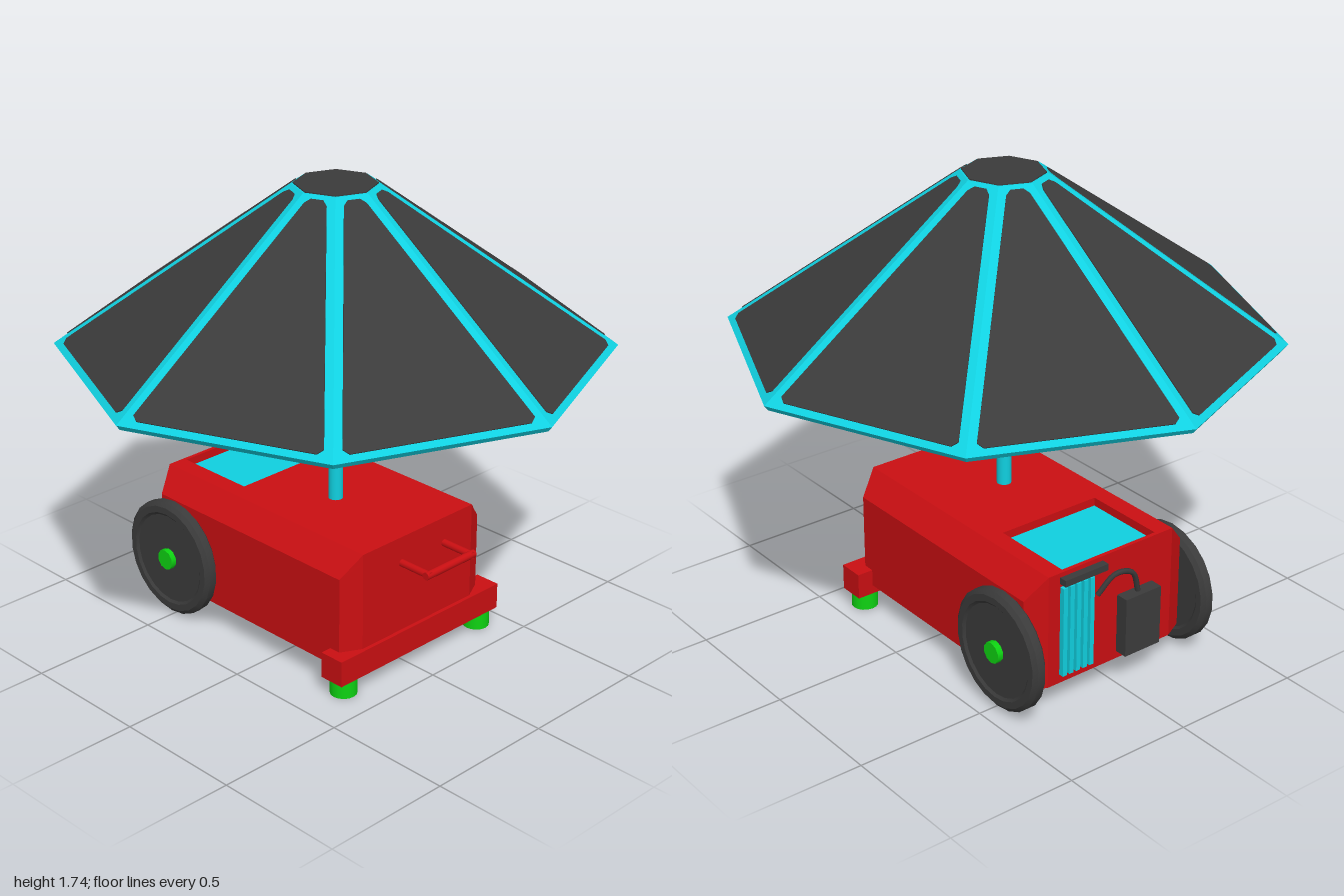
import * as THREE from 'three';
import { toCreasedNormals } from 'three/addons/utils/BufferGeometryUtils.js';
import { ConvexGeometry } from 'three/addons/geometries/ConvexGeometry.js';

const paint = (name, color) => {
  const m = new THREE.MeshStandardMaterial({ color });
  m.name = name;
  return m;
};

export function createModel() {
  const cyan = paint('cyan', 0x10d0e0);
  const red = paint('red', 0xca0f12);
  const dark = paint('charcoal', 0x3b3b3b);
  const green = paint('green', 0x0ed312);
  const model = new THREE.Group();
  model.name = 'umbrellaCart';

  const add = (name, geo, mat, x = 0, y = 0, z = 0, parent = model) => {
    const mesh = new THREE.Mesh(geo, mat);
    mesh.name = name;
    mesh.position.set(x, y, z);
    parent.add(mesh);
    return mesh;
  };
  const box = (w, h, d) => new THREE.BoxGeometry(w, h, d);
  const v2 = (pts) => pts.map(([x, y]) => new THREE.Vector2(x, y));
  const hull = (pts) => new ConvexGeometry(pts.map((p) => new THREE.Vector3(...p)));
  // Repeats points on the other side of the centre plane
  const both = (pts) => pts.flatMap(([x, y, z]) => [[x, y, z], [x, y, -z]]);

  // Canopy: eight-sided frame with a thin wall
  const R = 1, r = 0.155, rimY = 1.145, topY = 1.74;
  const canopy = new THREE.Group();
  canopy.name = 'canopy';
  model.add(canopy);
  const frame = new THREE.LatheGeometry(v2([
    [0.985, 1.125], [R, rimY], [r, topY], [0, topY], [0, topY - 0.025],
    [r, topY - 0.025], [0.97, 1.141], [0.985, 1.125],
  ]), 8);
  add('canopyFrame', toCreasedNormals(frame, 0.1), cyan, 0, 0, 0, canopy);
  add('canopyCap', new THREE.CylinderGeometry(0.148, 0.148, 0.008, 8), dark, 0, topY, 0, canopy);

  // Dark panels, one inset in each facet and seen from both sides
  const c = Math.cos(Math.PI / 8), s = Math.sin(Math.PI / 8);
  const run = (R - r) * c, rise = topY - rimY, L = Math.hypot(run, rise);
  const half = (t) => (R + (r - R) * t / L) * s - 0.031;
  const t0 = 0.026, t1 = L - 0.02;
  const right = [
    [half(t0) - 0.025, t0], [half(t0 + 0.02), t0 + 0.02],
    [half(t1 - 0.02), t1 - 0.02], [half(t1) - 0.012, t1],
  ];
  const outline = [...right, ...right.map(([x, y]) => [-x, y]).reverse()];
  const panelGeo = new THREE.ExtrudeGeometry(new THREE.Shape(v2(outline)),
    { depth: 0.028, bevelEnabled: false });
  panelGeo.translate(0, 0, -0.024);
  for (let i = 0; i < 8; i++) {
    const a = (i + 0.5) * Math.PI / 4;
    const out = new THREE.Vector3(Math.sin(a), 0, Math.cos(a));
    const side = new THREE.Vector3(Math.cos(a), 0, -Math.sin(a));
    const up = out.clone().multiplyScalar(-run / L).setY(rise / L);
    const panel = add('canopyPanel', panelGeo, dark, 0, 0, 0, canopy);
    panel.quaternion.setFromRotationMatrix(
      new THREE.Matrix4().makeBasis(side, up, side.clone().cross(up)));
    panel.position.copy(out.multiplyScalar(R * c)).setY(rimY);
  }

  // Pole
  add('pole', new THREE.CylinderGeometry(0.027, 0.027, 1.22, 16), cyan, 0, 1.11, 0);

  // Body with chamfered corners and a shallow tray at the rear
  const body = new THREE.Group();
  body.name = 'body';
  body.position.set(-0.125, 0, -0.03);
  model.add(body);
  const ends = (x, y, z) => both([[x, y, z], [-x, y, z]]);
  add('bodyHull', hull([
    ...ends(0.515, 0.1, 0.28), ...ends(0.475, 0.1, 0.357),
    ...ends(0.515, 0.455, 0.28), ...ends(0.475, 0.455, 0.357),
    ...ends(0.515, 0.5, 0.28), ...ends(0.496, 0.5, 0.316),
  ]), red, 0, 0, 0, body);
  add('bodyDeck', hull(both([
    [-0.175, 0.5, 0.316], [0.496, 0.5, 0.316], [0.515, 0.5, 0.28],
    [-0.175, 0.54, 0.28], [0.515, 0.54, 0.28],
  ])), red, 0, 0, 0, body);
  for (const k of [1, -1]) {
    add('trayRail', hull([
      [-0.175, 0.5, 0.316], [-0.496, 0.5, 0.316], [-0.515, 0.5, 0.28],
      [-0.175, 0.5, 0.21], [-0.515, 0.5, 0.21], [-0.175, 0.54, 0.28],
      [-0.515, 0.54, 0.28], [-0.175, 0.54, 0.21], [-0.515, 0.54, 0.21],
    ].map(([x, y, z]) => [x, y, z * k])), red, 0, 0, 0, body);
  }
  add('trayRearRail', box(0.015, 0.04, 0.42), red, -0.5075, 0.52, 0, body);
  add('trayFloor', box(0.325, 0.008, 0.42), cyan, -0.3375, 0.504, 0, body);

  // Rear fittings: grille bars, bracket, control box and cable
  for (let i = 0; i < 5; i++) {
    add('grilleBar', box(0.02, 0.35, 0.018), cyan, -0.65, 0.31, -0.25 + i * 0.03);
  }
  add('rearBracket', box(0.03, 0.025, 0.19), dark, -0.655, 0.51, -0.165);
  add('controlBox', box(0.05, 0.23, 0.16), dark, -0.665, 0.245, 0.08);
  const cable = new THREE.CatmullRomCurve3([
    [-0.65, 0.4, -0.1], [-0.67, 0.47, -0.04], [-0.67, 0.45, 0.04], [-0.66, 0.35, 0.08],
  ].map((p) => new THREE.Vector3(...p)));
  add('cable', new THREE.TubeGeometry(cable, 16, 0.01, 6), dark);

  // Handle: two prongs and a crossbar
  for (const z of [0.055, -0.165]) {
    const prong = add('handleProng', new THREE.CylinderGeometry(0.014, 0.014, 0.15, 10), red, 0.455, 0.437, z);
    prong.rotation.z = Math.PI / 2;
  }
  const bar = add('handleBar', new THREE.CylinderGeometry(0.015, 0.015, 0.25, 10), red, 0.52, 0.437, -0.055);
  bar.rotation.x = Math.PI / 2;

  // Bumper and casters
  add('bumper', box(0.1, 0.1, 0.82), red, 0.355, 0.115, -0.04);
  for (const z of [0.31, -0.39]) {
    add('caster', new THREE.CylinderGeometry(0.05, 0.05, 0.07, 16), green, 0.355, 0.035, z);
  }

  // Wheels with dished faces, on one axle
  const wheelGeo = toCreasedNormals(new THREE.LatheGeometry(v2([
    [0, -0.02], [0.175, -0.02], [0.185, -0.028], [0.21, -0.028], [0.226, -0.015],
    [0.226, 0.015], [0.21, 0.028], [0.185, 0.028], [0.175, 0.02], [0, 0.02],
  ]), 22), 0.4);
  for (const z of [0.356, -0.414]) {
    add('wheel', wheelGeo, dark, -0.51, 0.235, z).rotation.x = Math.PI / 2;
  }
  const axle = add('axle', new THREE.CylinderGeometry(0.04, 0.04, 0.854, 10), green, -0.51, 0.235, -0.03);
  axle.rotation.x = Math.PI / 2;

  return model;
}
